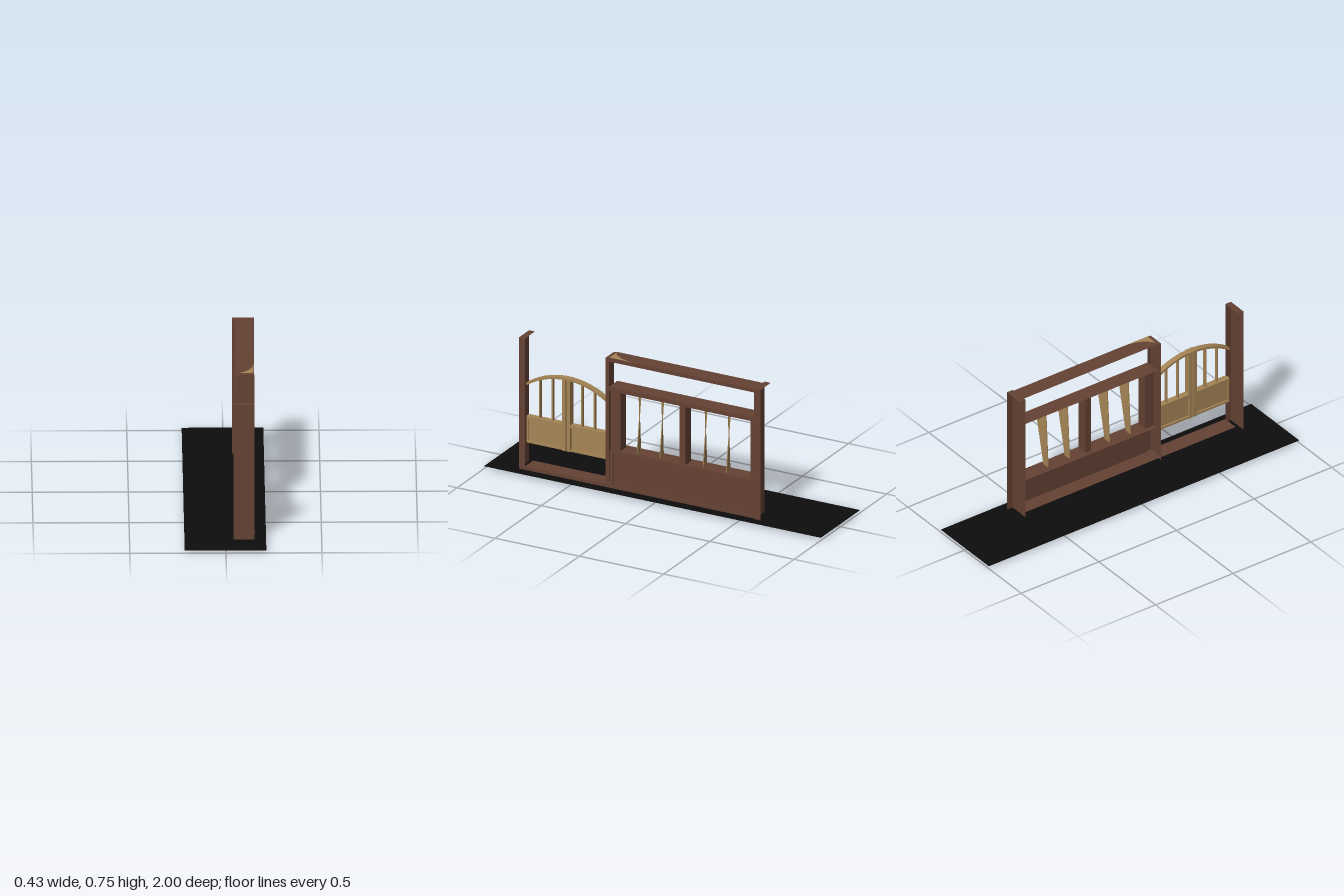
import * as THREE from 'three';

export function createModel() {
  const model = new THREE.Group();
  const mat = (name, color) => new THREE.MeshStandardMaterial({ name, color, side: THREE.DoubleSide });
  const brown = mat('brown wood', 0x654233);
  const tan = mat('tan wood', 0xa58455);
  const black = mat('black ground', 0x0d0d0d);

  const add = (name, geometry, material, parent = model) => {
    const mesh = new THREE.Mesh(geometry, material);
    mesh.name = name;
    parent.add(mesh);
    return mesh;
  };

  // Box between two corners; faces optionally limits it to some sides (0 +x, 1 -x, 2 +y, 3 -y, 4 +z, 5 -z)
  const box = (name, [x0, x1], [y0, y1], [z0, z1], material, parent = model, faces = null) => {
    const g = new THREE.BoxGeometry(x1 - x0, y1 - y0, z1 - z0);
    g.translate((x0 + x1) / 2, (y0 + y1) / 2, (z0 + z1) / 2);
    if (faces) {
      const index = Array.from(g.index.array);
      g.setIndex(faces.flatMap((f) => index.slice(f * 6, f * 6 + 6)));
      g.clearGroups();
    }
    return add(name, g, material, parent);
  };
  const group = (name) => {
    const g = new THREE.Group();
    g.name = name;
    model.add(g);
    return g;
  };

  // Ground sheet
  const ground = new THREE.PlaneGeometry(0.425, 2).rotateX(-Math.PI / 2).translate(-0.002, 0.015, 0);
  add('groundSheet', ground, black);

  // Open-backed posts: outer side, front side and cap
  const shell = [0, 2, 4];
  box('gatePost', [0.04, 0.15], [0, 0.755], [0.79, 0.825], brown, model, shell);
  box('endPost', [0.045, 0.158], [0, 0.75], [-0.612, -0.575], brown, model, shell);
  box('middlePost', [0.06, 0.153], [0.016, 0.745], [0.29, 0.31], brown, model, shell);

  // Long rails, each a top board with an outer lip
  const rail = [0, 2];
  box('bottomRail', [0.06, 0.152], [0.016, 0.034], [-0.575, 0.79], brown, model, rail);
  box('topRail', [0.06, 0.152], [0.727, 0.748], [-0.58, 0.29], brown, model, rail);
  box('middleRail', [0.06, 0.152], [0.562, 0.585], [-0.575, 0.29], brown, model, rail);

  // Tan inlay at the end of the top rail
  const inlay = new THREE.Shape();
  inlay.moveTo(0.15, 0.14);
  inlay.quadraticCurveTo(0.143, 0.25, 0.075, 0.288);
  inlay.lineTo(0.15, 0.288);
  add('topInlay', new THREE.ShapeGeometry(inlay).rotateX(Math.PI / 2).translate(0, 0.7495, 0), tan);

  // Framed lower panel with a sill
  const panel = group('lowerPanel');
  box('panelBoard', [0.143, 0.146], [0.03, 0.22], [-0.55, 0.27], brown, panel);
  box('sill', [0.06, 0.152], [0.214, 0.232], [-0.575, 0.285], brown, panel, rail);
  for (const z of [[0.263, 0.285], [-0.575, -0.545]]) {
    box('panelStile', [0.143, 0.152], [0.03, 0.215], z, brown, panel);
  }

  // Uprights between sill and middle rail
  box('frontUpright', [0.085, 0.145], [0.23, 0.565], [0.225, 0.283], brown);
  box('centreUpright', [0.085, 0.145], [0.23, 0.565], [-0.16, -0.124], brown);
  box('backUpright', [0.085, 0.145], [0.23, 0.565], [-0.573, -0.545], brown);

  // Twisted slats: edge-on at the bottom, turned at the top
  const slats = group('slats');
  for (const z of [0.135, 0, -0.257, -0.395]) {
    const g = new THREE.BoxGeometry(0.04, 0.335, 0.005, 1, 6, 1);
    const p = g.attributes.position;
    for (let i = 0; i < p.count; i++) {
      const t = p.getY(i) / 0.335 + 0.5;
      const across = p.getX(i) / 0.04 + 0.5;
      p.setX(i, p.getX(i) + 0.02 * t);
      p.setZ(i, p.getZ(i) - 0.034 * t * across);
    }
    g.computeVertexNormals();
    g.translate(0.11, 0.398, z);
    add('slat', g, tan, slats);
  }

  // Arched double gate
  const gate = group('gate');
  const mid = 0.55, radius = 0.4215, arcY = 0.154;
  const half = Math.asin(0.24 / radius);
  const archY = (z) => arcY + Math.sqrt(radius ** 2 - (z - mid) ** 2);

  const arch = new THREE.Shape();
  arch.absarc(mid, arcY, radius, Math.PI / 2 - half, Math.PI / 2 + half, false);
  arch.absarc(mid, arcY, radius - 0.012, Math.PI / 2 + half, Math.PI / 2 - half, true);
  const archGeometry = new THREE.ExtrudeGeometry(arch, { depth: 0.032, bevelEnabled: false, curveSegments: 20 });
  add('gateArch', archGeometry.rotateY(-Math.PI / 2).translate(0.14, 0, 0), tan, gate);

  for (const s of [-1, 1]) {
    const span = (a, b) => [mid + s * a, mid + s * b].sort((p, q) => p - q);
    const pz = span(0.005, 0.235);
    box('gatePanel', [0.12, 0.126], [0.17, 0.305], pz, tan, gate);
    box('gateMiddleRail', [0.106, 0.142], [0.3, 0.315], pz, tan, gate);
    box('gateBottomRail', [0.11, 0.137], [0.165, 0.177], pz, tan, gate);
    box('gateCentreStile', [0.106, 0.144], [0.165, 0.575], span(0.003, 0.024), tan, gate);
    box('gateHingeStile', [0.112, 0.134], [0.165, 0.315], span(0.227, 0.238), tan, gate);
    for (const d of [0.088, 0.163]) {
      box('gateBaluster', [0.114, 0.132], [0.31, archY(mid + d) - 0.006], span(d - 0.004, d + 0.004), tan, gate);
    }
  }

  return model;
}
